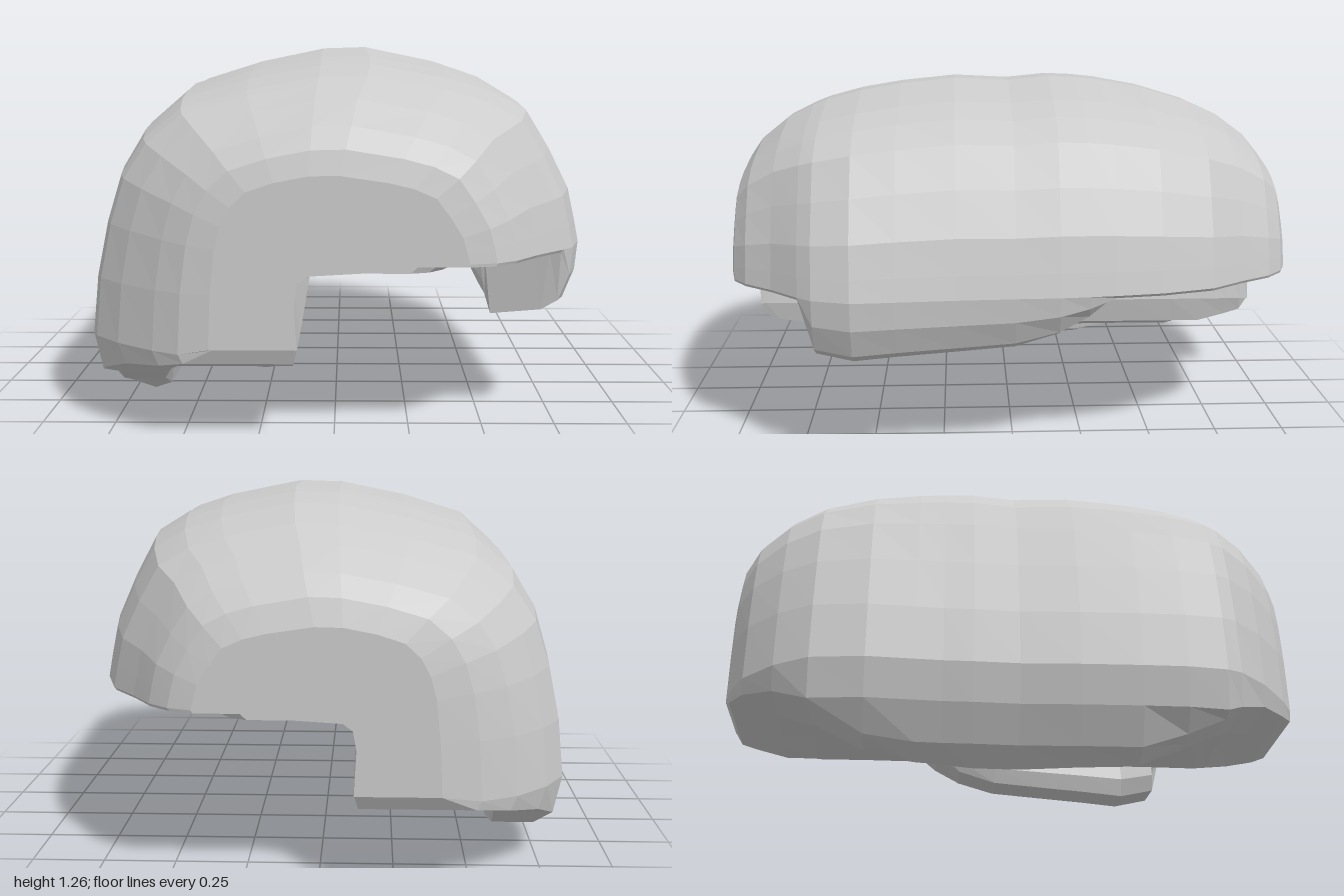
import * as THREE from 'three';

// Cross-section, clockwise from the foot, over the top, then back along the underside.
const OUTER = [
  [-0.67, 0.0], [-0.76, 0.05], [-0.82, 0.17], [-0.85, 0.3], [-0.83, 0.5], [-0.79, 0.7], [-0.74, 0.88],
  [-0.66, 1.02], [-0.53, 1.135], [-0.3, 1.205], [-0.05, 1.255], [0.12, 1.26], [0.4, 1.205],
  [0.54, 1.16], [0.66, 1.09], [0.74, 0.95], [0.81, 0.8], [0.835, 0.68], [0.85, 0.6],
];
// Side lip: its height is blended by station
const LIP = [[0.84, 0.5], [0.8, 0.4], [0.74, 0.365], [0.56, 0.35], [0.54, 0.42], [0.56, 0.5]];
const UNDER = [
  [0.52, 0.57], [0.25, 0.57], [-0.05, 0.56], [-0.11, 0.535], [-0.135, 0.47], [-0.115, 0.32],
  [-0.14, 0.22], [-0.24, 0.18], [-0.4, 0.205], [-0.54, 0.2], [-0.58, 0.17], [-0.61, 0.04],
];

// Stations from front to back: z, left edge, right edge, crown, lowest point, lip amount
const STATIONS = [
  [1.0, -0.4, 0.43, 0.88, 0.32, 0],
  [0.98, -0.5, 0.52, 0.96, 0.27, 0],
  [0.93, -0.59, 0.59, 1.03, 0.25, 0],
  [0.83, -0.72, 0.67, 1.11, 0.23, 0],
  [0.73, -0.81, 0.77, 1.16, 0.19, 0],
  [0.68, -0.83, 0.81, 1.18, 0.16, 0.92],
  [0.55, -0.845, 0.85, 1.215, 0.1, 1],
  [0.4, -0.845, 0.84, 1.24, 0.02, 0.95],
  [0.2, -0.84, 0.825, 1.26, 0.01, 0.9],
  [0.0, -0.83, 0.815, 1.25, 0.0, 0.84],
  [-0.15, -0.835, 0.81, 1.265, 0.0, 0.65],
  [-0.25, -0.835, 0.8, 1.26, 0.01, 0.38],
  [-0.34, -0.84, 0.79, 1.25, 0.015, 0],
  [-0.5, -0.85, 0.765, 1.22, 0.07, 0],
  [-0.68, -0.83, 0.71, 1.165, 0.17, 0],
  [-0.8, -0.76, 0.62, 1.11, 0.22, 0],
  [-0.91, -0.65, 0.55, 1.03, 0.25, 0],
  [-0.97, -0.53, 0.48, 0.96, 0.27, 0],
  [-1.0, -0.4, 0.4, 0.87, 0.32, 0],
];

function section([, left, right, crown, floor, lip]) {
  const mid = -0.12;
  const fit = ([x, y]) => {
    const s = x < mid ? (left - mid) / (-0.85 - mid) : (right - mid) / (0.85 - mid);
    const top = y > 0.6 ? 0.6 + (y - 0.6) * (crown - 0.6) / 0.66 : y;
    return new THREE.Vector2(mid + (x - mid) * s, Math.max(top, floor));
  };
  const blended = LIP.map(([x, y]) => [x, THREE.MathUtils.lerp(0.59, y, lip)]);
  return [...OUTER, ...blended, ...UNDER].map(fit);
}

function loft() {
  const rings = STATIONS.map(section);
  const n = rings[0].length;
  const positions = [];
  const index = [];
  rings.forEach((ring, i) => ring.forEach(p => positions.push(p.x, p.y, STATIONS[i][0])));
  for (let i = 0; i < rings.length - 1; i++) {
    for (let j = 0; j < n; j++) {
      const a = i * n + j, b = i * n + (j + 1) % n;
      index.push(a, b, b + n, a, b + n, a + n);
    }
  }
  // Flat end faces, turned outward
  for (const [i, facing] of [[0, 1], [rings.length - 1, -1]]) {
    const ring = rings[i];
    for (const [a, b, c] of THREE.ShapeUtils.triangulateShape(ring, [])) {
      const area = THREE.ShapeUtils.area([ring[a], ring[b], ring[c]]);
      const tri = area * facing > 0 ? [a, b, c] : [a, c, b];
      index.push(...tri.map(k => k + i * n));
    }
  }
  const geometry = new THREE.BufferGeometry();
  geometry.setAttribute('position', new THREE.Float32BufferAttribute(positions, 3));
  geometry.setIndex(index);
  geometry.computeVertexNormals();
  return geometry;
}

export function createModel() {
  const group = new THREE.Group();
  group.name = 'roundedShell';
  const material = new THREE.MeshStandardMaterial({ color: 0xcccccc, flatShading: true });
  const body = new THREE.Mesh(loft(), material);
  body.name = 'shellBody';
  group.add(body);
  return group;
}
